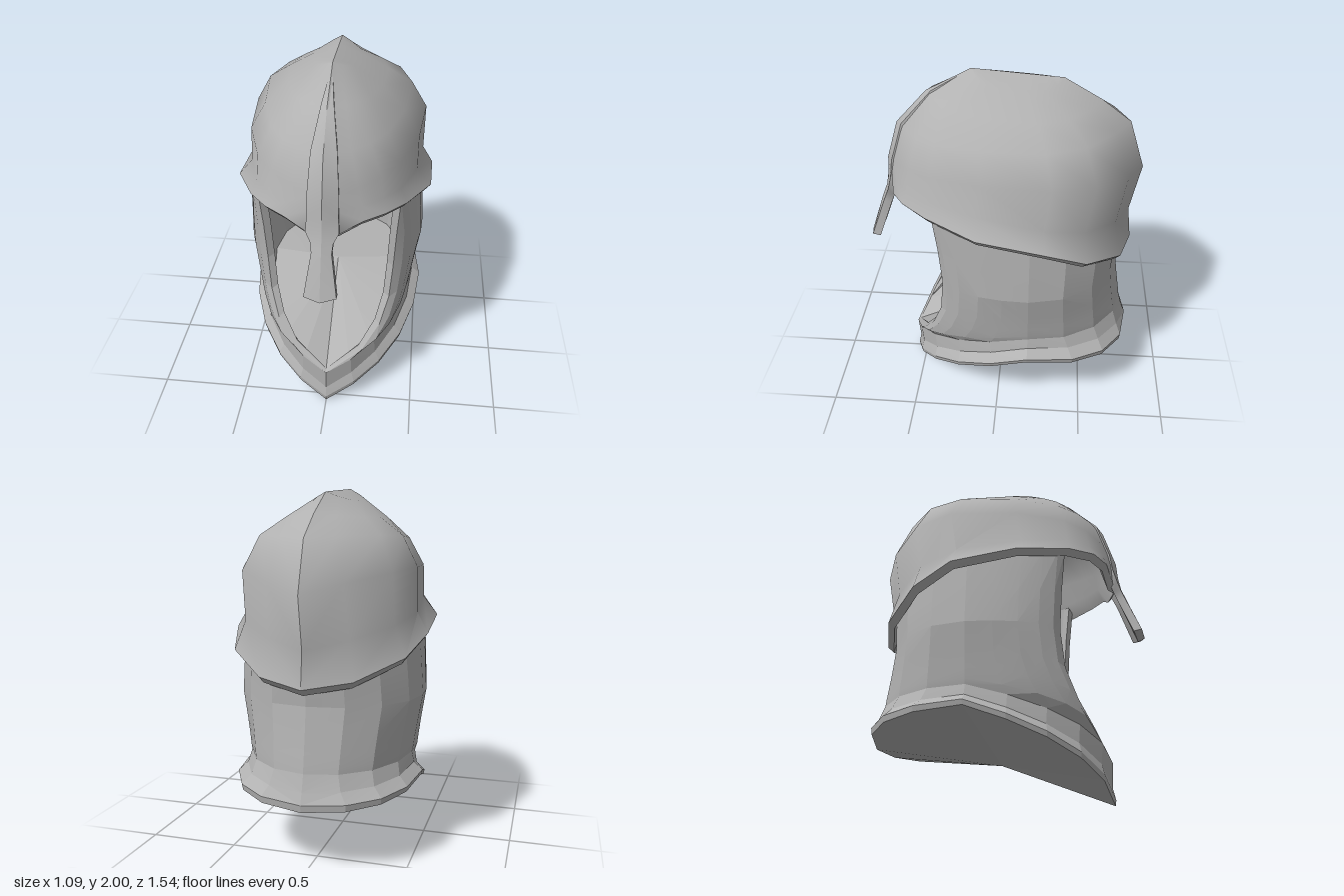
import * as THREE from 'three';
import { mergeGeometries, toCreasedNormals } from 'three/addons/utils/BufferGeometryUtils.js';

const steel = new THREE.MeshStandardMaterial({ color: 0xb2b2b2, side: THREE.DoubleSide });
steel.name = 'plain steel';

const lerp = THREE.MathUtils.lerp;
const collapse = (row, x, y, z) => row.map(() => [x, y, z]);
const same = (p, q) => p.every((v, i) => Math.abs(v - q[i]) < 1e-6);

// Skins rows of half-section points (front to back) on one side of x = 0
function skinHalf(rows, side, crease) {
  const pos = [];
  const tri = (a, b, c) => {
    if (same(a, b) || same(b, c) || same(a, c)) return;
    for (const p of side > 0 ? [a, b, c] : [a, c, b]) pos.push(side * p[0], p[1], p[2]);
  };
  for (let i = 0; i < rows.length - 1; i++) {
    for (let j = 0; j < rows[i].length - 1; j++) {
      const a = rows[i][j], b = rows[i + 1][j], c = rows[i + 1][j + 1], d = rows[i][j + 1];
      tri(a, b, c);
      tri(a, c, d);
    }
  }
  const geo = new THREE.BufferGeometry();
  geo.setAttribute('position', new THREE.Float32BufferAttribute(pos, 3));
  return toCreasedNormals(geo, crease);
}

// Both halves together, with a sharp ridge kept along the middle
function loft(name, rows, crease) {
  const mesh = new THREE.Mesh(mergeGeometries([1, -1].map((s) => skinHalf(rows, s, crease))), steel);
  mesh.name = name;
  return mesh;
}

// Skull: pointed rings stacked from the ridge down to a flared rim, then lined inside
function makeSkull() {
  const px = [0, 0.17, 0.4, 0.61, 0.78, 0.94, 1, 0.85, 0.46, 0];
  const pz = [0, 0.025, 0.06, 0.115, 0.2, 0.39, 0.65, 0.81, 0.935, 1];
  const ring = ([w, zF, yF, zB, yB, bulge, point]) =>
    px.map((x, i) => [w * x ** point, lerp(yF, yB, pz[i]) + bulge * x, lerp(zF, zB, pz[i])]);
  // half width, front z and y, back z and y, side lift, pointedness
  const rings = [
    [0, 0.16, 2.0, -0.32, 1.965, 0, 1],
    [0.13, 0.16, 2.0, -0.32, 1.965, -0.055, 1.1],
    [0.27, 0.4, 1.87, -0.52, 1.85, -0.025, 1.25],
    [0.4, 0.57, 1.68, -0.68, 1.73, 0.025, 1.25],
    [0.487, 0.63, 1.47, -0.77, 1.46, 0.115, 1.15],
    [0.485, 0.64, 1.4, -0.72, 1.18, 0.08, 1.03],
  ].map(ring);
  const rim = [
    [0, 1.3, 0.645], [0.08, 1.28, 0.61], [0.2, 1.345, 0.58], [0.31, 1.355, 0.51], [0.41, 1.34, 0.38],
    [0.535, 1.29, 0.1], [0.545, 1.23, -0.26], [0.47, 1.13, -0.48], [0.25, 1.03, -0.675], [0, 0.99, -0.745],
  ];
  const rimUnder = rim.map(([x, y, z]) => [x * 0.95, y - 0.035, z * 0.95]);
  const lining = rings.map((r) => r.map(([x, y, z]) => [x * 0.93, y - 0.025, z * 0.93])).reverse();
  return loft('skull', [...rings, rim, rimUnder, ...lining], 0.8);
}

// Nose guard: a ridged strip that runs down the brow and hangs in front of the face
function makeNoseGuard() {
  // y, centre z, half width, edge z
  const rows = [
    [1.86, 0.41, 0.03, 0.37], [1.68, 0.572, 0.065, 0.535], [1.46, 0.638, 0.08, 0.602],
    [1.36, 0.645, 0.08, 0.615], [1.28, 0.66, 0.085, 0.635], [1.23, 0.68, 0.058, 0.655],
    [1.18, 0.698, 0.052, 0.675], [0.96, 0.773, 0.085, 0.755],
  ].map(([y, zc, w, ze]) => [[0, y, zc], [w, y + 0.02, ze], [w, y + 0.01, ze - 0.045], [0, y - 0.02, zc - 0.04]]);
  rows.unshift(collapse(rows[0], 0, 1.99, 0.17));
  rows.push(collapse(rows[0], 0, 0.945, 0.75));
  return loft('noseGuard', rows, 0.6);
}

// Neck and cheek guard: bands that start at the face opening and sweep round to the nape
function makeNeckGuard() {
  const zSide = -0.18, front = 5, back = 4;
  const band = ([x0, y0, z0, w, yS, yB, zB, square = 1]) => {
    const pts = [];
    for (let i = 0; i <= front; i++) {
      const u = i / front, t = u * Math.PI / 2;
      pts.push([lerp(x0, w, Math.sin(t)), lerp(y0, yS, u ** 0.9),
        lerp(zSide, z0, 0.87 * Math.cos(t) + 0.13 * (1 - u))]);
    }
    for (let i = 1; i <= back; i++) {
      const u = i / back, t = u * Math.PI / 2;
      const c = i === back ? 0 : Math.cos(t) ** square;
      pts.push([w * c, lerp(yS, yB, u), lerp(zSide, zB, Math.sin(t) ** square)]);
    }
    return pts;
  };
  // front x, y, z; side half width and y; nape y and z; squareness of the nape corners
  const specs = [
    [0, 0.005, 0.55, 0.51, 0.42, 0.36, -0.765, 0.85],
    [0, 0.035, 0.555, 0.517, 0.447, 0.4, -0.77, 0.85],
    [0, 0.1, 0.54, 0.468, 0.49, 0.46, -0.745, 0.92],
    [0, 0.23, 0.55, 0.455, 0.55, 0.55, -0.72],
    [0.2, 0.36, 0.47, 0.462, 0.58, 0.59, -0.715],
    [0.295, 0.5, 0.39, 0.47, 0.64, 0.65, -0.705],
    [0.34, 0.66, 0.33, 0.485, 0.73, 0.74, -0.69],
    [0.355, 0.87, 0.31, 0.512, 0.88, 0.89, -0.67],
    [0.365, 1.1, 0.325, 0.5, 1.06, 0.98, -0.68],
    [0.38, 1.34, 0.35, 0.48, 1.28, 1.06, -0.685],
  ];
  const outer = specs.map(band);
  const inner = specs.slice(3).map(([x, y, z, w, yS, yB, zB]) =>
    band([x * 0.9, y + 0.018, z - 0.02, w - 0.05, yS + 0.02, yB + 0.02, zB + 0.05]));
  // inner wall carries on up under the skull
  const innerTop = band([0.342, 1.365, 0.33, 0.43, 1.37, 1.37, -0.62]);

  const group = new THREE.Group();
  group.name = 'neckGuard';
  const shell = [...outer].reverse();
  shell.push(collapse(outer[0], 0, 0.24, -0.05));
  group.add(loft('outerShellAndBase', shell, 0.12));
  group.add(loft('innerWallAndFloor', [collapse(inner[0], 0, 0.58, -0.12), ...inner, innerTop], 0.12));
  group.add(loft('faceOpeningEdge', [inner.map((r) => r[0]), outer.slice(3).map((r) => r[0])], 0.12));
  return group;
}

export function createModel() {
  const helmet = new THREE.Group();
  helmet.name = 'helmet';
  helmet.add(makeSkull(), makeNoseGuard(), makeNeckGuard());
  return helmet;
}
